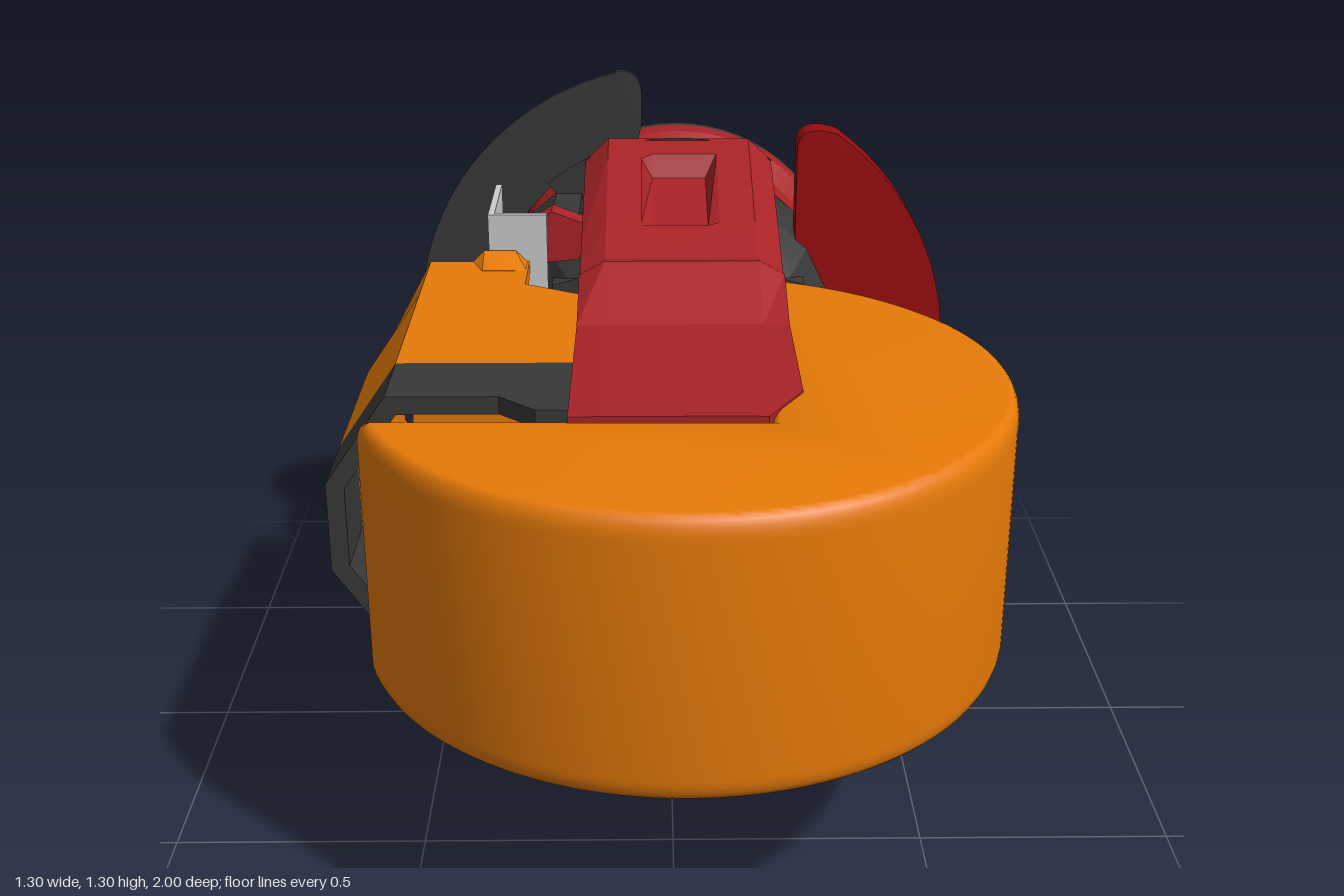
import * as THREE from 'three';
import { toCreasedNormals } from 'three/addons/utils/BufferGeometryUtils.js';

const mat = (color, flatShading = false) =>
  new THREE.MeshStandardMaterial({ color, flatShading, side: THREE.DoubleSide });
const CX = 0.023, CY = 0.69;

function polygon(points) {
  return new THREE.Shape(points.map(([x, y]) => new THREE.Vector2(x, y)));
}

// Shape in the front plane, extruded from z0 forward to z1; rule may move each corner
function slab(shape, z0, z1, rule) {
  const g = new THREE.ExtrudeGeometry(shape, { depth: z1 - z0, bevelEnabled: false, curveSegments: 24 });
  g.translate(0, 0, z0);
  if (rule) {
    const p = g.attributes.position;
    for (let i = 0; i < p.count; i++) p.setXYZ(i, ...rule(p.getX(i), p.getY(i), p.getZ(i)));
  }
  return toCreasedNormals(g, 0.5);
}

// Profile of [radius, distance towards the back], turned about the z axis
function turned(profile, segments, crease) {
  const g = new THREE.LatheGeometry(profile.map(([r, d]) => new THREE.Vector2(r, d)), segments);
  g.rotateX(-Math.PI / 2).translate(CX, CY, 0);
  return toCreasedNormals(g, crease);
}

function arcBand(r0, r1, a0, a1) {
  const s = new THREE.Shape();
  s.absarc(CX, CY, r1, a0, a1, false);
  s.absarc(CX, CY, r0, a1, a0, true);
  return s;
}

// Upper fork arm with a sunken scoop: [z, top, bottom, half width right, shoulder drop, scoop depth]
function armGeometry() {
  const sections = [
    [-0.60, 1.168, 1.02, 0.215, 0.05, 0], [-0.52, 1.152, 1.01, 0.215, 0.05, 0],
    [-0.50, 1.146, 1.005, 0.215, 0.05, 0.045], [-0.25, 1.07, 0.95, 0.215, 0.035, 0.01],
    [-0.24, 1.067, 0.95, 0.215, 0.035, 0],
    [-0.12, 1.03, 0.90, 0.215, 0.03, 0], [-0.07, 1.04, 0.88, 0.215, 0.03, 0],
    [0.10, 0.96, 0.85, 0.215, 0.001, 0], [0.46, 0.96, 0.85, 0.215, 0.001, 0],
    [0.585, 0.96, 0.85, 0.145, 0.001, 0]];
  const pos = [], idx = [], l = 0.215, n = 10;
  for (const [z, t, b, r, d, s] of sections) {
    const ring = [[-l, b], [r, b], [r, t - d], [r * 0.75, t], [0.085, t], [0.06, t - s],
      [-0.06, t - s], [-0.085, t], [-l * 0.75, t], [-l, t - d]];
    for (const [x, y] of ring) pos.push(0.025 + x, y, z);
  }
  const last = (sections.length - 1) * n;
  for (let s = 0; s < last; s += n)
    for (let i = 0; i < n; i++) {
      const a = s + i, b = s + (i + 1) % n;
      idx.push(a, b, b + n, a, b + n, a + n);
    }
  for (let i = 1; i < n - 1; i++) idx.push(0, i + 1, i, last, last + i, last + i + 1);
  const g = new THREE.BufferGeometry();
  g.setAttribute('position', new THREE.Float32BufferAttribute(pos, 3));
  g.setIndex(idx);
  g.computeVertexNormals();
  return g;
}

// Hollow half-octagon channel open towards the arm
const channel = (x) => polygon([[x, 0.425], [-0.53, 0.425], [-0.65, 0.6], [-0.65, 0.78], [-0.53, 0.955],
  [x, 0.955], [x, 0.92], [-0.51, 0.92], [-0.615, 0.77], [-0.615, 0.69], [-0.615, 0.61], [-0.51, 0.46], [x, 0.46]]);

export function createModel() {
  const model = new THREE.Group();
  const orange = mat(0xe67a08), dark = mat(0x383838), darkFlat = mat(0x383838, true);
  const armRed = mat(0xa82327, true), ringRed = mat(0xa82327);
  const skidRed = mat(0xd80a0c), guardRed = mat(0x9a0b0e), grey = mat(0xcccccc);
  const add = (name, geometry, material, parent = model) => {
    const m = new THREE.Mesh(geometry, material);
    m.name = name;
    parent.add(m);
  };
  const box = (name, x0, x1, y0, y1, z0, z1, material, parent) =>
    add(name, new THREE.BoxGeometry(x1 - x0, y1 - y0, z1 - z0)
      .translate((x0 + x1) / 2, (y0 + y1) / 2, (z0 + z1) / 2), material, parent);

  // Large round wheel, cut away where the arm and motor sit
  const R = 0.625, wx = 0.022, wz = 0.373;
  const wheelShape = new THREE.Shape();
  wheelShape.moveTo(0.24, 0.46);
  wheelShape.absarc(wx, wz, R, Math.atan2(-0.584, 0.218), Math.PI - Math.asin(0.212 / R), false);
  wheelShape.lineTo(0.17, 0.585);
  const bevel = 0.045;
  const wheel = new THREE.ExtrudeGeometry(wheelShape, {
    depth: 0.535 - 2 * bevel, bevelSize: 0.022, bevelThickness: bevel,
    bevelOffset: -0.022, bevelSegments: 5, curveSegments: 64 });
  wheel.rotateX(Math.PI / 2).translate(0, 0.955 - bevel, 0);
  add('wheel', toCreasedNormals(wheel, 0.6), orange);

  // Motor shell with a dark front cap, a bulkhead and a notched, tapered rear
  add('motorShell', slab(channel(-0.19), -0.11, 0.3), orange);
  add('motorCap', slab(channel(-0.19), 0.3, 0.475), dark);
  add('motorRearShell', slab(channel(-0.31), -0.34, -0.11, (x, y, z) =>
    z < -0.3 && x < -0.6 ? [x + 0.02, y, -0.25] : [x, y, z]), orange);
  add('motorBulkhead', slab(polygon([[-0.2, 0.45], [-0.51, 0.45], [-0.56, 0.53], [-0.56, 0.85],
    [-0.51, 0.93], [-0.2, 0.93]]), -0.15, -0.12), orange);

  // Parts repeated above and below the centre plane
  for (const side of [1, -1]) {
    const half = new THREE.Group();
    half.name = side > 0 ? 'upperFork' : 'lowerFork';
    half.scale.y = side;
    half.position.y = side > 0 ? 0 : 2 * CY;
    model.add(half);
    add('forkArm', armGeometry(), armRed, half);
    add('shoulderFront', slab(polygon([[-0.385, 0.93], [-0.2, 0.95], [-0.18, 1.03], [-0.26, 1.06], [-0.385, 0.98]]),
      -0.43, -0.37), armRed, half);
    box('shoulderSide', -0.385, -0.345, 0.93, 0.98, -0.6, -0.43, armRed, half);
    add('shoulderBlock', slab(polygon([[-0.345, 0.9], [-0.2, 0.95], [-0.2, 1.04], [-0.26, 1.04], [-0.345, 0.97]]),
      -0.6, -0.43), darkFlat, half);
    add('motorLug', slab(polygon([[-0.44, 0.95], [-0.41, 0.98], [-0.34, 0.98], [-0.31, 0.95]]),
      -0.34, -0.27, (x, y, z) => [x, y > 0.96 && z > -0.3 ? 0.956 : y, z]), orange, half);
    add('motorRearLip', slab(polygon([[-0.31, 0.92], [-0.19, 0.92], [-0.19, 0.955], [-0.31, 0.955]]),
      -0.18, -0.11, (x, y, z) => [x, y, x > -0.2 ? -0.11 : z]), orange, half);
    add('capLip', slab(polygon([[-0.32, 0.92], [-0.19, 0.92], [-0.19, 0.955], [-0.32, 0.955]]),
      0.475, 0.54, (x, y, z) => [z > 0.5 && x < -0.3 ? -0.25 : x, y, z]), dark, half);
    add('hubPad', slab(arcBand(0.37, 0.482, 1.1, 2.25), -0.73, -0.59, (x, y, z) =>
      z < -0.7 ? [CX + (x - CX) * 0.92, CY + (y - CY) * 0.92, z] : [x, y, z]), darkFlat, half);
    box('bracketTab', -0.4, -0.386, 0.96, 1.06, -0.6, -0.36, grey, half);
  }

  // Grey bracket plate between motor and hub
  const plate = polygon([[-0.27, 0.31], [-0.4, 0.31], [-0.4, 0.42], [-0.59, 0.6], [-0.59, 0.78],
    [-0.4, 0.96], [-0.4, 1.06], [-0.27, 1.06]]);
  for (const y of [0.56, 0.69, 0.82]) {
    const hole = new THREE.Path(), r = y === 0.69 ? 0.045 : 0.025;
    hole.setFromPoints([[0, r], [r, 0], [0, -r], [-r, 0]].map(([a, b]) => new THREE.Vector2(-0.42 + a, y + b)));
    plate.holes.push(hole);
  }
  add('bracketPlate', slab(plate, -0.36, -0.345), grey);

  // Dark hub with a stepped hollow back and a toothed front
  add('hub', turned([[0, 0.42], [0.2, 0.4], [0.31, 0.39], [0.35, 0.45], [0.385, 0.52], [0.395, 0.6],
    [0.395, 0.73], [0.33, 0.73], [0.31, 0.64], [0.24, 0.62], [0.22, 0.54], [0.13, 0.53], [0.11, 0.47], [0, 0.47]],
    14, 0.2), dark);
  const teeth = [];
  for (let i = 0; i < 32; i++) {
    const a = (i / 32) * Math.PI * 2, r = i % 2 ? 0.345 : 0.3;
    teeth.push([CX + r * Math.cos(a), CY + r * Math.sin(a)]);
  }
  add('hubTeeth', slab(polygon(teeth), -0.45, -0.39), darkFlat);

  // Separate rear ring: red body, faceted bore, dark rim
  add('rearRing', turned([[0.3, 0.745], [0.385, 0.745], [0.385, 0.85], [0.42, 0.91], [0.42, 0.975]], 64, 0.4), ringRed);
  add('rearRingBore', turned([[0.37, 0.975], [0.34, 0.91], [0.315, 0.89], [0.3, 0.745]], 10, 0.2), armRed);
  add('rearRim', turned([[0.335, 0.975], [0.42, 0.975], [0.42, 1.0], [0.335, 1.0], [0.335, 0.96]], 64, 0.4), dark);

  // Thin dark crescent on the right
  const crescent = new THREE.Shape();
  crescent.moveTo(-0.06, 1.175);
  crescent.lineTo(-0.06, 1.25);
  crescent.quadraticCurveTo(-0.06, 1.305, -0.12, 1.303);
  crescent.absarc(CX, CY, 0.625, 1.8, 2 * Math.PI - 1.8, false);
  crescent.quadraticCurveTo(-0.06, 0.075, -0.06, 0.13);
  crescent.lineTo(-0.06, 0.205);
  crescent.absarc(CX, CY, 0.45, 2 * Math.PI - 1.78, 1.78, true);
  add('rearCrescent', slab(crescent, -0.72, -0.705), dark);

  // Red side guard with its tab on the left
  const guard = new THREE.Shape();
  guard.moveTo(0.295, 0.22);
  guard.quadraticCurveTo(0.295, 0.165, 0.36, 0.167);
  guard.absarc(CX, CY, 0.624, -0.95, 0.95, false);
  guard.quadraticCurveTo(0.295, 1.225, 0.295, 1.16);
  add('sideGuard', slab(guard, -0.585, -0.515), guardRed);
  box('guardTab', 0.54, 0.647, 0.655, 0.725, -0.69, -0.585, guardRed);

  // Bright red skid: rounded trough whose front edge sweeps back towards the left wall
  const trough = new THREE.Shape();
  trough.moveTo(-0.23, 0.4);
  trough.lineTo(-0.23, 0.13);
  trough.quadraticCurveTo(-0.22, 0.03, -0.13, 0.015);
  trough.quadraticCurveTo(0.025, -0.024, 0.18, 0.015);
  trough.quadraticCurveTo(0.27, 0.045, 0.285, 0.15);
  trough.lineTo(0.285, 0.4);
  trough.lineTo(0.245, 0.4);
  trough.lineTo(0.24, 0.19);
  trough.quadraticCurveTo(0.22, 0.1, 0.12, 0.07);
  trough.quadraticCurveTo(0.02, 0.045, -0.1, 0.06);
  trough.quadraticCurveTo(-0.18, 0.08, -0.19, 0.18);
  trough.lineTo(-0.19, 0.4);
  add('skid', slab(trough, -0.59, 0, (x, y, z) => {
    const sweep = z > -0.1 ? -0.27 * ((x + 0.23) / 0.515) ** 2 : z;
    return [x, y < 0.25 ? y - 0.08 * sweep : y, sweep];
  }), skidRed);
  add('skidFlare', slab(polygon([[-0.21, 0.12], [-0.345, 0.22], [-0.345, 0.33], [-0.3, 0.36], [-0.21, 0.4]]),
    -0.59, -0.4), skidRed);
  return model;
}
